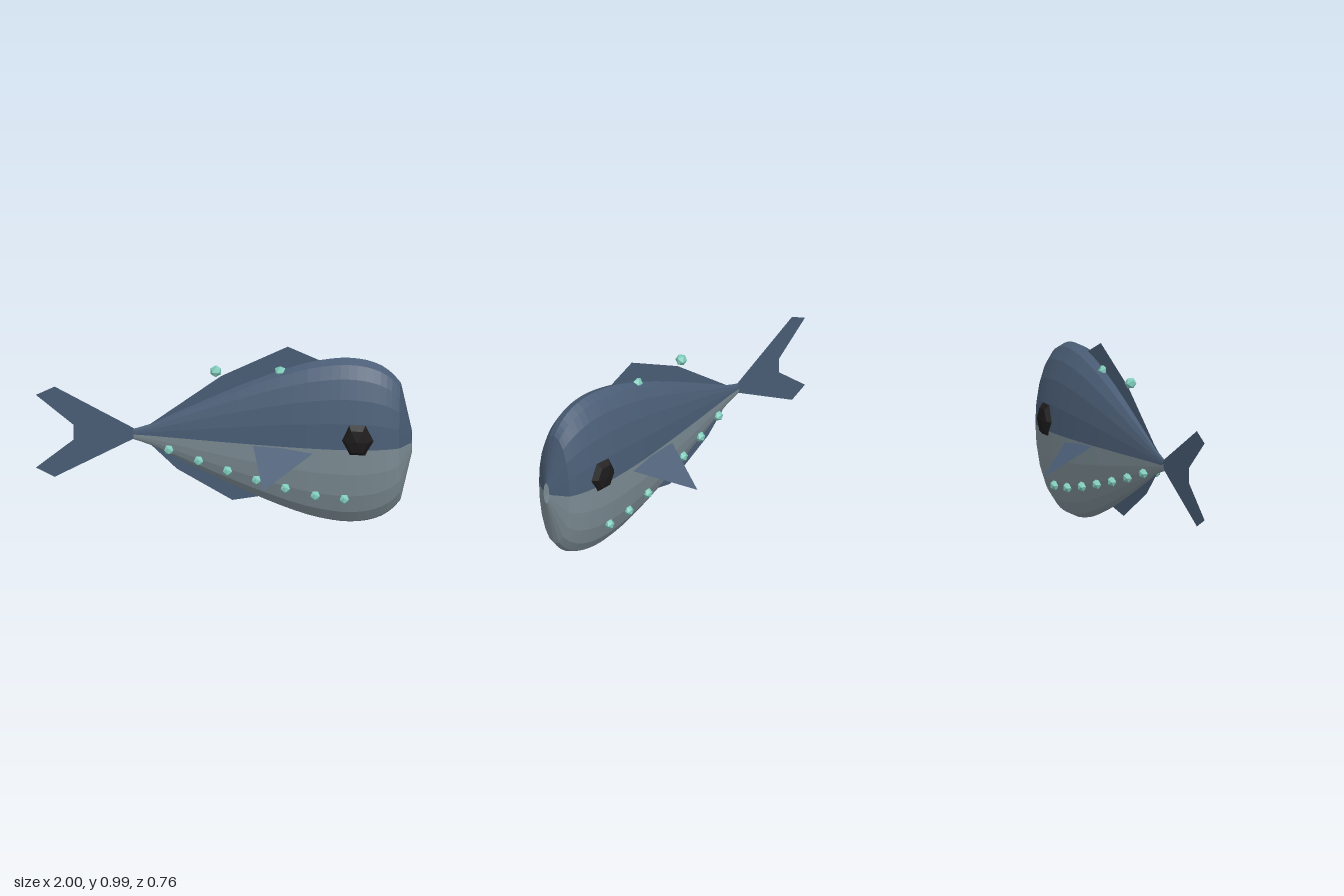
import * as THREE from 'three';

const CY = 0.472; // height of the body axis
const FLAT = 0.332; // sideways squash of the body

const mat = (name, color) => {
  const m = new THREE.MeshStandardMaterial({ color, flatShading: true, side: THREE.DoubleSide });
  m.name = name;
  return m;
};

// Body half-height along x, from tail to snout
const PROFILE = [
  [-0.48, 0.03], [-0.39, 0.06], [-0.3, 0.105], [-0.15, 0.18], [0, 0.253], [0.15, 0.322], [0.3, 0.384],
  [0.45, 0.435], [0.58, 0.461], [0.67, 0.467], [0.76, 0.457], [0.84, 0.428], [0.9, 0.382], [0.94, 0.333],
];

function radiusAt(x) {
  const i = Math.max(1, PROFILE.findIndex((p) => p[0] >= x));
  const [x0, r0] = PROFILE[i - 1], [x1, r1] = PROFILE[i];
  return r0 + ((r1 - r0) * (x - x0)) / (x1 - x0);
}

// Flat fin outline in the z = 0 plane
function flatFin(points) {
  return new THREE.ShapeGeometry(new THREE.Shape(points.map((p) => new THREE.Vector2(...p))));
}

export function createModel() {
  const model = new THREE.Group();
  const blue = mat('slateBlue', 0x4a5d75);
  const grey = mat('bellyGrey', 0x7d8d95);
  const black = mat('eyeBlack', 0x1c1a1a);
  const teal = mat('glowTeal', 0x80ccbc);

  const add = (name, geometry, material, parent = model) => {
    const mesh = new THREE.Mesh(geometry, material);
    mesh.name = name;
    parent.add(mesh);
    return mesh;
  };

  // Body: two half lathes along x, open at the mouth and tail
  const curve = new THREE.SplineCurve(PROFILE.map(([x, r]) => new THREE.Vector2(r, x)));
  const outline = [...curve.getPoints(26), new THREE.Vector2(0.063, 1)];
  const half = (start) => {
    const g = new THREE.LatheGeometry(outline, 10, start, Math.PI);
    g.rotateZ(-Math.PI / 2);
    g.scale(1, 1, FLAT);
    g.translate(0, CY, 0);
    g.computeVertexNormals();
    return g;
  };
  // phi is measured from +z, so the second half turn is the upper one
  add('back', half(Math.PI), blue);
  add('belly', half(0), grey);

  // Fins on the centre plane
  add('tailFin', flatFin([[-0.47, 0.5], [-0.9, 0.73], [-1, 0.68], [-0.8, 0.515],
    [-0.8, 0.43], [-1, 0.265], [-0.9, 0.215], [-0.47, 0.45]]), blue);
  add('dorsalFin', flatFin([[-0.4, 0.525], [-0.015, 0.815], [0.34, 0.993], [0.52, 0.915], [0.3, 0.8]]), blue);
  add('analFin', flatFin([[-0.4, 0.425], [-0.25, 0.28], [0.045, 0.11], [0.2, 0.138], [0.1, 0.22]]), blue);

  for (const side of [1, -1]) {
    const label = side > 0 ? 'front' : 'rear';

    // Side fin sloping outward and down
    const fin = new THREE.BufferGeometry();
    const corners = [[0.165, 0.473, 0.13], [0.235, 0.315, 0.38], [0.5, 0.452, 0.13]];
    if (side < 0) corners.reverse();
    fin.setAttribute('position', new THREE.Float32BufferAttribute(
      corners.flatMap(([x, y, z]) => [x, y, z * side]), 3));
    fin.computeVertexNormals();
    add(label + 'PectoralFin', fin, blue);

    // Faceted eye with its pole facing outward
    const eye = new THREE.SphereGeometry(1, 6, 4);
    eye.rotateX(Math.PI / 2);
    eye.scale(0.087, 0.1, 0.038);
    add(label + 'Eye', eye, black).position.set(0.72, 0.525, 0.146 * side);

    // Row of glowing spots along the flank
    const row = new THREE.Group();
    row.name = label + 'Spots';
    model.add(row);
    const spots = [[-0.29, 0.4], [-0.13, 0.35], [0.025, 0.305], [0.18, 0.265], [0.335, 0.228], [0.495, 0.196], [0.65, 0.182]];
    for (const [x, y] of spots) {
      const r = radiusAt(x);
      const z = FLAT * Math.sqrt(Math.max(0, r * r - (y - CY) ** 2)) + 0.008;
      add('spot', new THREE.IcosahedronGeometry(0.028, 0), teal, row).position.set(x, y, z * side);
    }
  }

  // Spots above the back
  for (const [x, y] of [[-0.043, 0.842], [0.3, 0.852]]) {
    const lure = new THREE.IcosahedronGeometry(0.032, 0);
    lure.rotateZ(Math.PI / 2);
    add('backSpot', lure, teal).position.set(x, y, 0);
  }
  return model;
}
